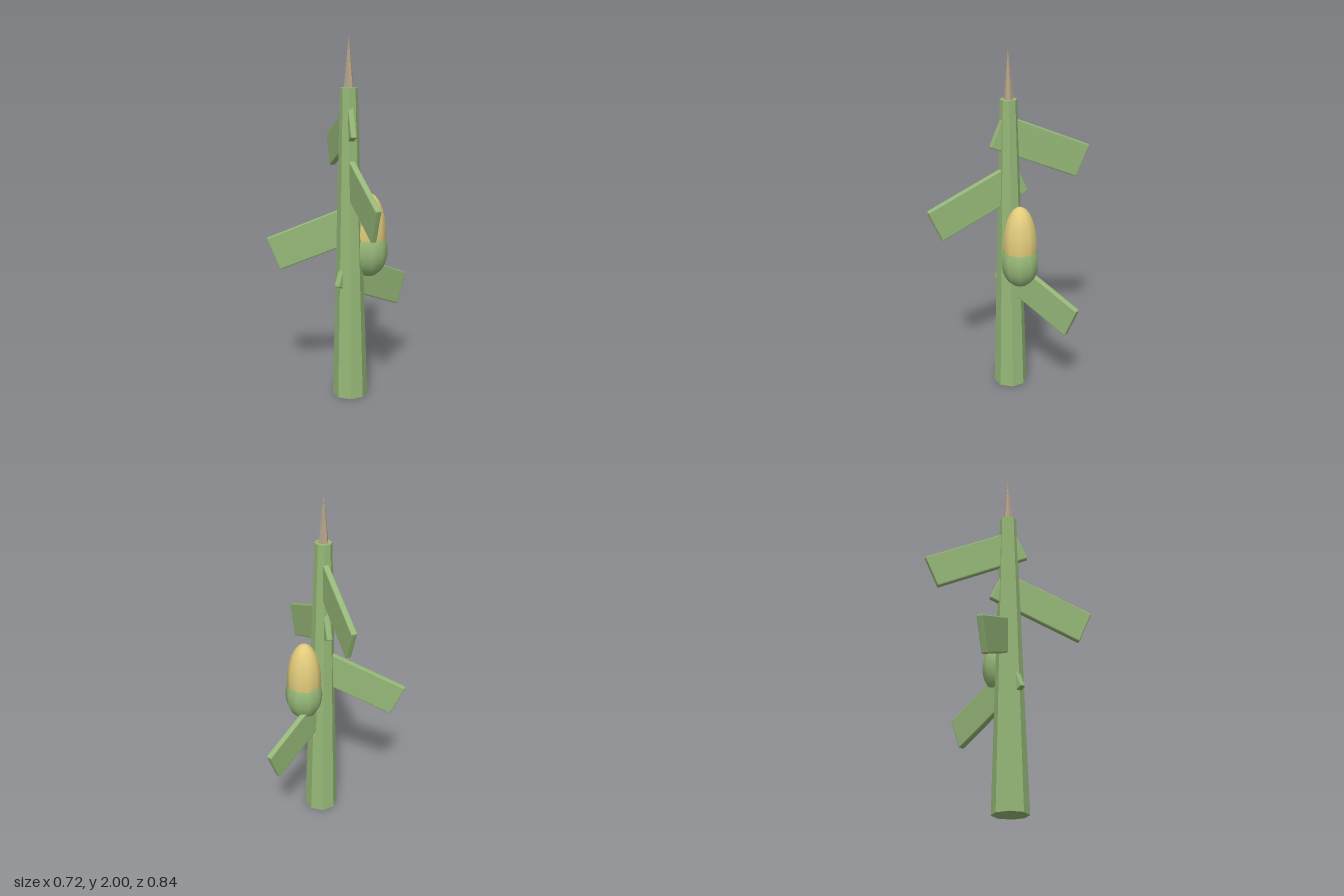
import * as THREE from 'three';
import { RoundedBoxGeometry } from 'three/addons/geometries/RoundedBoxGeometry.js';

export function createModel() {
  const model = new THREE.Group();
  model.name = 'cornPlant';

  const material = (name, color, flatShading = false) => {
    const m = new THREE.MeshStandardMaterial({ color, flatShading });
    m.name = name;
    return m;
  };
  const green = material('leafGreen', 0x96b878);
  green.flatShading = true;
  const huskGreen = material('huskGreen', 0x96b878);
  const yellow = material('kernelYellow', 0xe2cc7c);
  const tan = material('tasselTan', 0xb8a488, true);

  const add = (parent, name, geometry, mat, x, y, z) => {
    const mesh = new THREE.Mesh(geometry, mat);
    mesh.name = name;
    mesh.position.set(x, y, z);
    parent.add(mesh);
    return mesh;
  };

  // Tapered stalk with a pointed tassel
  const stalkX = -0.113;
  add(model, 'stalk', new THREE.CylinderGeometry(0.047, 0.098, 1.73, 8), green, stalkX, 0.865, 0);
  add(model, 'tassel', new THREE.ConeGeometry(0.027, 0.27, 6), tan, stalkX, 1.865, 0);

  // Drooping blade leaves, spiralling up the stalk
  const leafGeometry = new RoundedBoxGeometry(0.555, 0.195, 0.033, 1, 0.007);
  [0, 2.09, 4.2, 1.0].forEach((angle, i) => {
    const leaf = new THREE.Group();
    leaf.name = 'leaf' + (i + 1);
    leaf.position.set(stalkX, 0.635 + i * 0.273, 0);
    leaf.rotation.y = angle;
    add(leaf, 'leafBlade', leafGeometry, green, 0.183, 0, 0).rotation.z = -0.41;
    model.add(leaf);
  });

  // Ear: long kernel body sitting in a wider husk
  const ellipsoid = (name, mat, radius, height, y) => {
    const mesh = add(model, name, new THREE.SphereGeometry(1, 10, 16), mat, -0.004, y, 0.044);
    mesh.scale.set(radius, height, radius);
    mesh.rotation.y = Math.PI / 2;
  };
  ellipsoid('kernels', yellow, 0.097, 0.225, 0.93);
  ellipsoid('husk', huskGreen, 0.107, 0.15, 0.83);

  return model;
}
